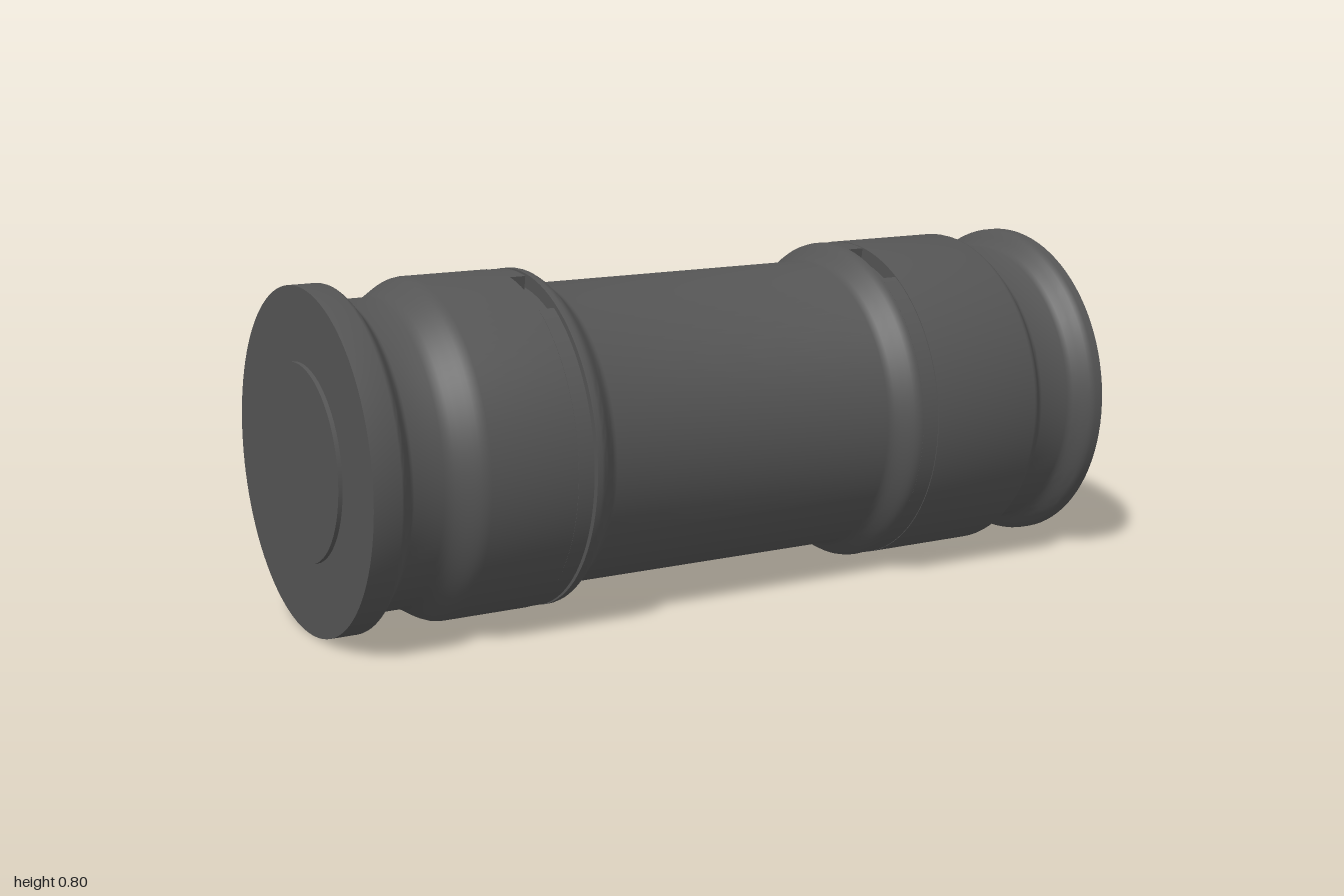
import * as THREE from 'three';
import { toCreasedNormals } from 'three/addons/utils/BufferGeometryUtils.js';

const R = 0.398, WAIST = 0.357, FLOOR = 0.365, SEG = 96, END = 0.985;
const rad = THREE.MathUtils.degToRad;

export function createModel() {
  const group = new THREE.Group();
  const material = new THREE.MeshStandardMaterial({ color: 0x555555 });

  const add = (name, geometry, x = 0, y = 0, z = 0) => {
    const mesh = new THREE.Mesh(toCreasedNormals(geometry, rad(35)), material);
    mesh.name = name;
    mesh.position.set(x, y, z);
    group.add(mesh);
  };
  // Lathe about the x axis; points are [x, radius]
  const turned = (points) =>
    new THREE.LatheGeometry(points.map(([x, r]) => new THREE.Vector2(r, x)), SEG).rotateZ(-Math.PI / 2);
  // S-shaped transition between two radii
  const ease = (x0, r0, x1, r1, n = 8) =>
    Array.from({ length: n + 1 }, (_, i) => {
      const t = i / n;
      return [x0 + (x1 - x0) * t, r0 + (r1 - r0) * t * t * (3 - 2 * t)];
    });

  // Main body with waisted grip, end necks and channels for the bands
  add('body', turned([
    [-0.99, 0], [-0.99, R],
    ...ease(-0.925, R, -0.88, WAIST),
    ...ease(-0.81, WAIST, -0.715, R),
    [-0.505, R], [-0.505, FLOOR], [-0.457, FLOOR], [-0.457, R],
    ...ease(-0.445, R, -0.385, WAIST),
    ...ease(0.355, WAIST, 0.425, R),
    [0.43, R], [0.43, FLOOR], [0.475, FLOOR], [0.475, R],
    ...ease(0.77, R, 0.825, WAIST),
    ...ease(0.905, WAIST, 0.965, R),
    [END, R],
  ]), 0, 0.4);

  // Split bands, each leaving a small window open toward the upper front
  const band = (name, x, width) => {
    const shape = new THREE.Shape();
    shape.absarc(0, 0, R - 0.001, rad(122), rad(460), false);
    shape.absarc(0, 0, FLOOR - 0.003, rad(460), rad(122), true);
    const geometry = new THREE.ExtrudeGeometry(shape, { depth: width, bevelEnabled: false, curveSegments: SEG });
    add(name, geometry.rotateY(Math.PI / 2), x, 0.4);
  };
  band('rightBand', -0.504, 0.039);
  band('leftBand', 0.431, 0.043);

  // End face with an opening for the socket
  const face = new THREE.Shape().absarc(0, 0, R, 0, Math.PI * 2, false);
  face.holes.push(new THREE.Path().absarc(0.21, 0.015, 0.115, 0, Math.PI * 2, true));
  add('endFace', new THREE.ShapeGeometry(face, SEG).rotateY(Math.PI / 2), END, 0.4);

  // Stepped socket sunk into the end face
  add('socket', turned([[0, 0.115], [-0.03, 0.115], [-0.03, 0.081], [-0.1, 0.081], [-0.1, 0]]), END, 0.415, -0.21);

  // Raised discs on both ends
  const disc = (name, radius, x, thickness) =>
    add(name, new THREE.CylinderGeometry(radius, radius, thickness, 64).rotateZ(-Math.PI / 2), x, 0.4);
  disc('button', 0.06, 0.989, 0.02);
  disc('endPlate', 0.228, -0.99, 0.02);

  return group;
}
